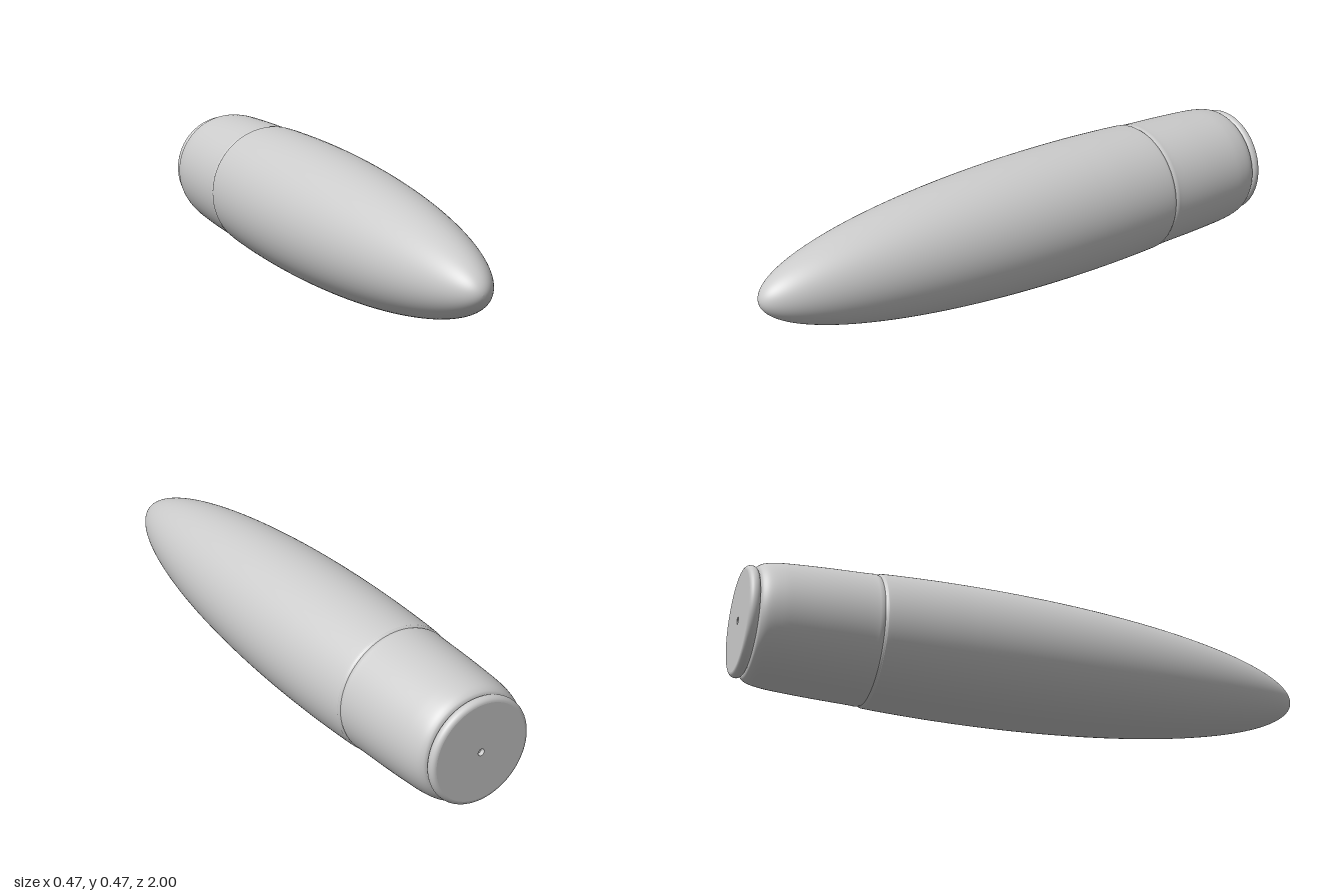
import * as THREE from 'three';

const SIDES = 96;
const RADIUS = 0.235;
const material = new THREE.MeshStandardMaterial({ color: 0xcccccc });

// Smooth curve through [radius, z] pairs
function smooth(pairs, divisions) {
  const curve = new THREE.SplineCurve(pairs.map(([r, z]) => new THREE.Vector2(r, z)));
  return curve.getPoints(divisions).map(p => new THREE.Vector2(Math.max(p.x, 0), p.y));
}

// Turned part: profile runs from back to front along z
function turned(name, points) {
  const geometry = new THREE.LatheGeometry(points, SIDES);
  geometry.rotateX(Math.PI / 2);
  const mesh = new THREE.Mesh(geometry, material);
  mesh.name = name;
  return mesh;
}

const line = pairs => pairs.map(([r, z]) => new THREE.Vector2(r, z));

export function createModel() {
  const group = new THREE.Group();
  group.name = 'pointedShell';

  // Long nose: half of a stretched ellipse, widest at z = -0.23
  const nose = [];
  for (let i = 0; i <= 48; i++) {
    const a = (i / 48) * Math.PI / 2;
    nose.push(new THREE.Vector2(i === 48 ? 0 : RADIUS * Math.cos(a), -0.23 + 1.23 * Math.sin(a)));
  }
  // Gentle taper behind the widest point, ending in a rounded shoulder
  const waist = smooth([[0.2205, -0.56], [0.225, -0.553], [0.2275, -0.54],
    [0.231, -0.46], [0.2342, -0.34], [RADIUS, -0.23]], 40);
  group.add(turned('noseBody', [...waist.slice(0, -1), ...nose]));

  // Rear sleeve with a rounded back edge and a raised lip at the groove
  group.add(turned('rearSleeve', [
    ...line([[0.165, -0.964]]),
    ...smooth([[0.178, -0.964], [0.189, -0.958], [0.2, -0.938], [0.2075, -0.9],
      [0.212, -0.85], [0.218, -0.73], [0.222, -0.6], [0.2235, -0.572], [0.2205, -0.56]], 48),
  ]));

  // Base rim: thin disc with rounded edges
  const rim = [];
  for (let i = 0; i <= 12; i++) {
    const a = -Math.PI / 2 + (i / 12) * Math.PI;
    rim.push(new THREE.Vector2(0.171 + 0.016 * Math.cos(a), -0.982 + 0.018 * Math.sin(a)));
  }
  group.add(turned('baseRim', rim));

  // Flat base face with a small centre dimple
  group.add(turned('baseFace', line([[0.012, -1], [0.171, -1]])));
  group.add(turned('dimpleWall', line([[0.012, -0.985], [0.012, -1]])));
  group.add(turned('dimpleFloor', line([[0, -0.985], [0.012, -0.985]])));

  // Hidden neck joining rim and sleeve
  group.add(turned('neck', line([[0.17, -0.97], [0.17, -0.955]])));

  group.position.y = RADIUS;
  return group;
}
